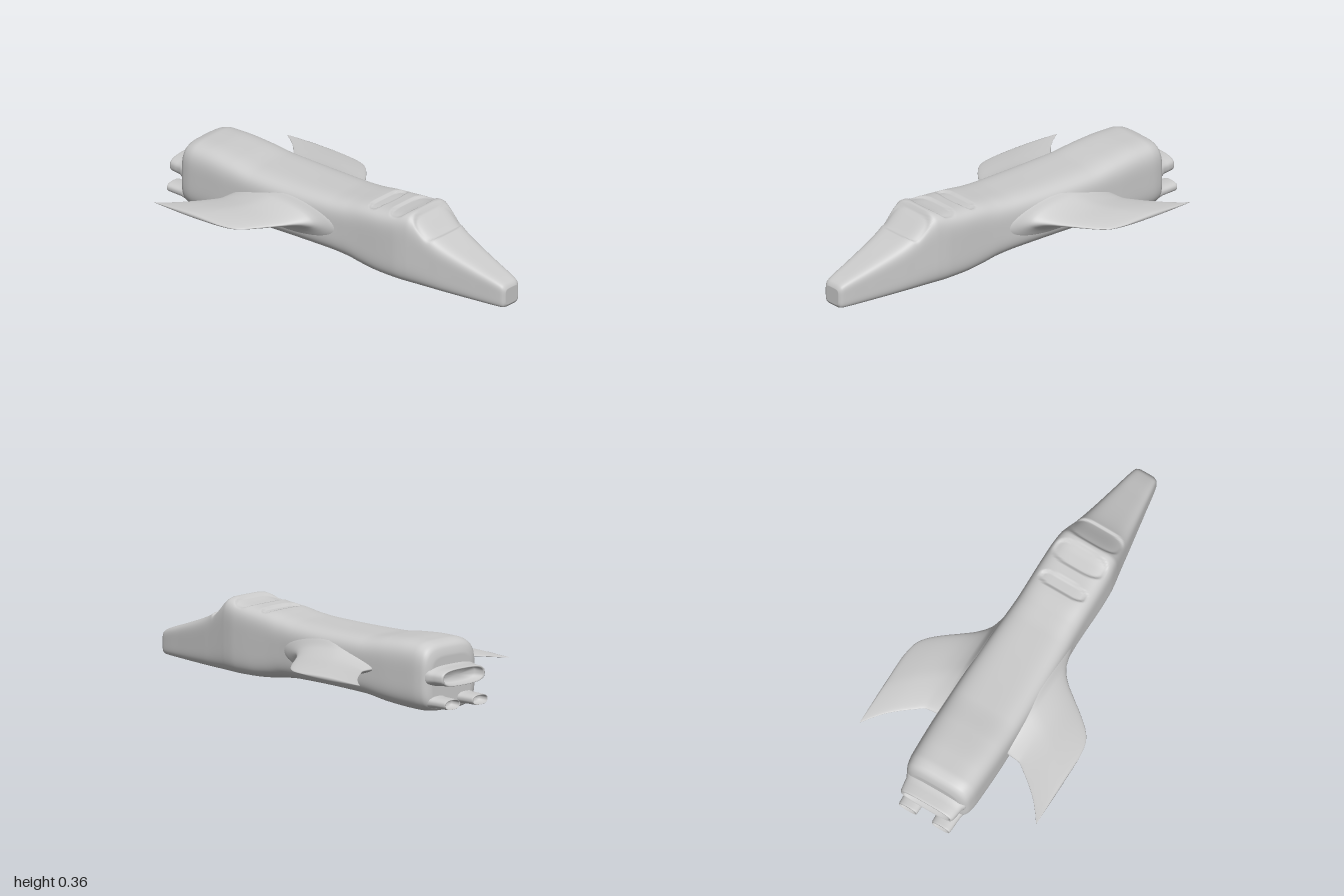
import * as THREE from 'three';

const grey = new THREE.MeshStandardMaterial({ color: 0xcccccc, side: THREE.DoubleSide });

// Smooth skin over closed rings of [x, y, z] points
function loft(rings, flip, name) {
  const n = rings[0].length, index = [];
  for (let i = 0; i < rings.length - 1; i++) {
    for (let j = 0; j < n; j++) {
      const a = i * n + j, b = i * n + (j + 1) % n, c = a + n, d = b + n;
      if (flip) index.push(a, b, c, b, d, c);
      else index.push(a, c, b, b, c, d);
    }
  }
  const geo = new THREE.BufferGeometry();
  geo.setAttribute('position', new THREE.Float32BufferAttribute(rings.flat(2), 3));
  geo.setIndex(index);
  geo.computeVertexNormals();
  const mesh = new THREE.Mesh(geo, grey);
  mesh.name = name;
  return mesh;
}

// Monotone cubic interpolation of table rows keyed by their first column
function sample(rows, t) {
  let k = 0;
  while (k < rows.length - 2 && t > rows[k + 1][0]) k++;
  const h = rows[k + 1][0] - rows[k][0], u = (t - rows[k][0]) / h;
  return rows[k].slice(1).map((_, c) => {
    const v = (i) => rows[i][c + 1];
    const sec = (i) => (v(i + 1) - v(i)) / (rows[i + 1][0] - rows[i][0]);
    const slope = (i) => {
      if (i === 0) return sec(0);
      if (i === rows.length - 1) return sec(i - 1);
      const p = sec(i - 1), q = sec(i);
      return p * q <= 0 ? 0 : 2 * p * q / (p + q);
    };
    return v(k) * (1 + 2 * u) * (1 - u) ** 2 + v(k + 1) * u * u * (3 - 2 * u)
      + h * (slope(k) * u * (1 - u) ** 2 + slope(k + 1) * u * u * (u - 1));
  });
}

// Rounded-box outline in the y-z plane
function section(x, w, bottom, top, power, count, zc = 0) {
  const mid = (bottom + top) / 2, h = (top - bottom) / 2;
  return Array.from({ length: count }, (_, j) => {
    const a = j / count * Math.PI * 2, c = Math.cos(a), s = Math.sin(a);
    const r = (Math.abs(c) ** power + Math.abs(s) ** power) ** (-1 / power);
    return [x, mid + h * r * s, zc + w * r * c];
  });
}

// Fuselage profile: x, half width, bottom, top, corner power
const hull = [
  [-0.9, 0.135, 0.035, 0.28, 4], [-0.892, 0.155, 0.02, 0.308, 4], [-0.87, 0.171, 0.011, 0.331, 4],
  [-0.82, 0.18, 0.005, 0.342, 4], [-0.75, 0.183, 0.006, 0.342, 4], [-0.6, 0.187, 0.016, 0.332, 4],
  [-0.45, 0.187, 0.034, 0.316, 4], [-0.2, 0.182, 0.038, 0.312, 4], [0, 0.173, 0.035, 0.315, 4],
  [0.1, 0.168, 0.027, 0.323, 4], [0.2, 0.166, 0.014, 0.334, 4.5], [0.3, 0.166, 0.007, 0.34, 5],
  [0.4, 0.164, 0.004, 0.352, 5], [0.475, 0.155, 0.003, 0.365, 5], [0.5, 0.15, 0.003, 0.352, 5],
  [0.6, 0.131, 0.003, 0.277, 5], [0.64, 0.124, 0.003, 0.254, 5], [0.7, 0.113, 0.003, 0.228, 5],
  [0.85, 0.086, 0.004, 0.174, 5], [0.97, 0.064, 0.006, 0.132, 5], [0.99, 0.058, 0.009, 0.121, 5],
  [1, 0.046, 0.02, 0.106, 5],
];

// Sunken windscreen and roof windows: centre x, half length, half width, depth, corner power
const dents = [[0.548, 0.065, 0.136, 0.013, 3.5], [0.397, 0.058, 0.142, 0.012, 3], [0.245, 0.035, 0.128, 0.012, 3]];

function dent([x, y, z], top) {
  let drop = 0;
  for (const [cx, hx, hz, depth, p] of dents) {
    const f = (Math.abs((x - cx) / hx) ** p + Math.abs(z / hz) ** p) ** (1 / p);
    if (y > top - 0.07) drop += depth * (1 - THREE.MathUtils.smoothstep(f, 0.86, 1.02));
  }
  return [x, y - drop, z];
}

function fuselage() {
  const rings = [], steps = 250, count = 136;
  for (let i = 0; i <= steps; i++) {
    const x = -0.9 + 1.9 * i / steps, [w, b, t, p] = sample(hull, x);
    rings.push(section(x, w, b, t, p, count).map((v) => dent(v, t)));
  }
  // Close both ends
  const shrink = (ring, k, cy) => ring.map(([x, y, z]) => [x, cy + (y - cy) * k, z * k]);
  const first = rings[0], last = rings[steps];
  rings.unshift(shrink(first, 0, 0.16), shrink(first, 0.9, 0.16));
  rings.push(shrink(last, 0.9, 0.063), shrink(last, 0, 0.063));
  return loft(rings, false, 'fuselage');
}

// Wing stations: z, trailing x, leading x, bottom, top
const wingRows = [
  [0.13, -0.55, 0.14, 0.05, 0.3], [0.17, -0.552, 0.055, 0.085, 0.272], [0.185, -0.558, -0.005, 0.105, 0.254],
  [0.2, -0.56, -0.05, 0.119, 0.241], [0.25, -0.565, -0.112, 0.141, 0.22], [0.3, -0.597, -0.152, 0.149, 0.209],
  [0.4, -0.68, -0.23, 0.157, 0.198], [0.45, -0.738, -0.28, 0.159, 0.191], [0.475, -0.772, -0.33, 0.162, 0.186],
  [0.485, -0.785, -0.4, 0.168, 0.182],
];

function wing(side, name) {
  const rings = [], steps = 60, count = 48;
  for (let i = 0; i <= steps; i++) {
    const z = 0.13 + 0.355 * i / steps, [tail, nose, b, t] = sample(wingRows, z);
    rings.push(Array.from({ length: count }, (_, j) => {
      const a = j / count * Math.PI * 2, u = 0.5 + 0.5 * Math.cos(a);
      const taper = 0.5 + 0.5 * Math.min(1, u * 2.2); // thin trailing edge
      return [tail + (nose - tail) * u, (b + t) / 2 + (t - b) / 2 * Math.sin(a) * taper, side * z];
    }));
  }
  const tip = rings[steps];
  rings.push(tip.map(([x, , z]) => [x, 0.175, z]));
  return loft(rings, side > 0, name);
}

// Hollow nozzle with a rounded lip
function nozzle(name, zc, yc, w, h, end, power) {
  const path = [
    [-0.86, 1.15, 1.25], [-0.895, 1.12, 1.2], [-0.908, 1.06, 1.05], [-0.935, 1.04, 1.02],
    [end + 0.012, 1, 1], [end + 0.002, 0.96, 0.96], [end, 0.92, 0.9], [end + 0.004, 0.88, 0.82],
    [end + 0.05, 0.83, 0.76], [end + 0.05, 0, 0],
  ];
  return loft(path.map(([x, kw, kh]) => section(x, w * kw, yc - h * kh, yc + h * kh, power, 48, zc)), true, name);
}

export function createModel() {
  const model = new THREE.Group();
  model.name = 'spaceplane';
  model.add(
    fuselage(),
    wing(1, 'nearWing'),
    wing(-1, 'farWing'),
    nozzle('mainNozzle', 0, 0.182, 0.143, 0.043, -0.982, 3),
  );
  for (const s of [-1, 1]) model.add(nozzle('lowerNozzle', s * 0.09, 0.06, 0.05, 0.025, -1, 2.5));
  return model;
}
